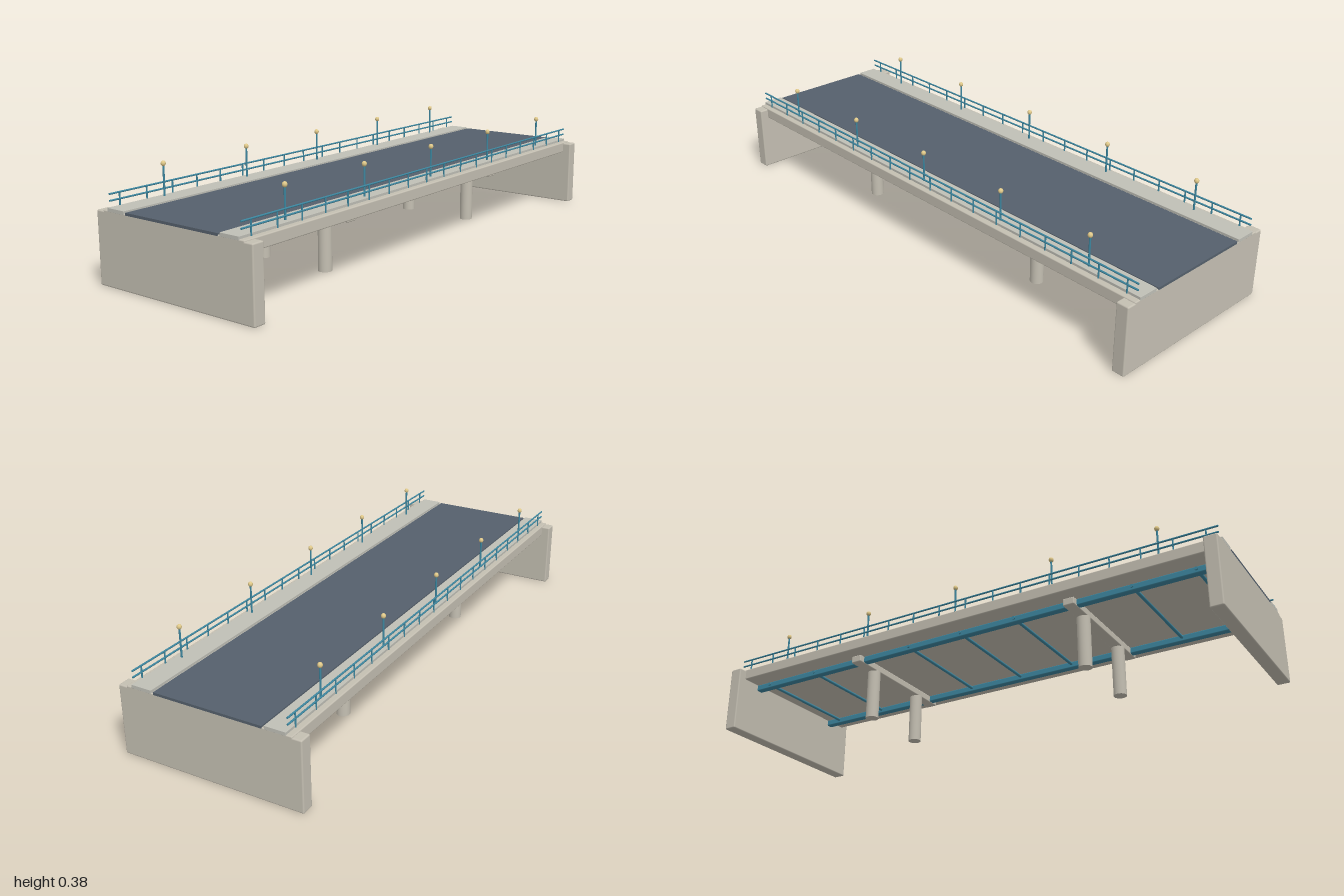
import * as THREE from 'three';
import { RoundedBoxGeometry } from 'three/addons/geometries/RoundedBoxGeometry.js';

const paint = (color) => new THREE.MeshStandardMaterial({ color });

export function createModel() {
  const bridge = new THREE.Group();
  bridge.name = 'bridge';
  const concrete = paint(0xc4bfb2);
  const paving = paint(0xbfbfb6);
  const asphalt = paint(0x55606c);
  const steel = paint(0x3d87a0);
  const glow = paint(0xe0c98a);

  const add = (name, geometry, material, x, y, z) => {
    const mesh = new THREE.Mesh(geometry, material);
    mesh.name = name;
    mesh.position.set(x, y, z);
    bridge.add(mesh);
    return mesh;
  };
  // Boxes are given by their bottom and top heights
  const block = (name, material, w, y0, y1, d, x = 0, z = 0, r = 0.004) =>
    add(name, r ? new RoundedBoxGeometry(w, y1 - y0, d, 2, r) : new THREE.BoxGeometry(w, y1 - y0, d),
      material, x, (y0 + y1) / 2, z);
  const post = (name, material, r, y0, y1, x, z, sides = 12) =>
    add(name, new THREE.CylinderGeometry(r, r, y1 - y0, sides), material, x, (y0 + y1) / 2, z);

  // Deck and road surface
  block('deck', concrete, 0.61, 0.213, 0.254, 2);
  block('road', asphalt, 0.4, 0.25, 0.259, 2, 0, 0, 0);

  // Abutments, and piers with two columns under a cap beam
  for (const end of [-1, 1]) {
    block('abutment', concrete, 0.674, 0, 0.25, 0.047, 0, end * 0.9765, 0.005);
    const z = end * 0.445;
    block('pierCap', concrete, 0.51, 0.187, 0.214, 0.042, 0, z);
    for (const x of [-0.14, 0.14]) post('pierColumn', concrete, 0.024, 0, 0.19, x, z, 24);
  }

  // Cross braces between the girders
  for (let i = -4; i <= 4; i++) {
    const brace = add('crossBrace', new THREE.CylinderGeometry(0.006, 0.006, 0.475, 10), steel, 0, 0.205, i * 0.2225);
    brace.rotation.z = Math.PI / 2;
  }

  for (const side of [-1, 1]) {
    block('girder', steel, 0.026, 0.19, 0.214, 1.92, side * 0.22);
    block('sidewalk', paving, 0.076, 0.25, 0.263, 2, side * 0.246, 0, 0.001);

    // Railing
    const railX = side * 0.284;
    for (const y of [0.283, 0.305]) {
      const rail = add('handrail', new THREE.CylinderGeometry(0.0032, 0.0032, 1.98, 10), steel, railX, y, 0);
      rail.rotation.x = Math.PI / 2;
    }
    for (let i = 0; i < 18; i++) post('railPost', steel, 0.0028, 0.252, 0.305, railX, -0.949 + (i * 1.898) / 17, 8);

    // Street lamps
    for (let i = -2; i <= 2; i++) {
      post('lampPost', steel, 0.0034, 0.26, 0.366, side * 0.264, i * 0.39, 10);
      const globe = add('lampGlobe', new THREE.SphereGeometry(0.0085, 16, 12), glow, side * 0.264, 0.372, i * 0.39);
      globe.scale.y = 1.1;
    }
  }
  return bridge;
}
